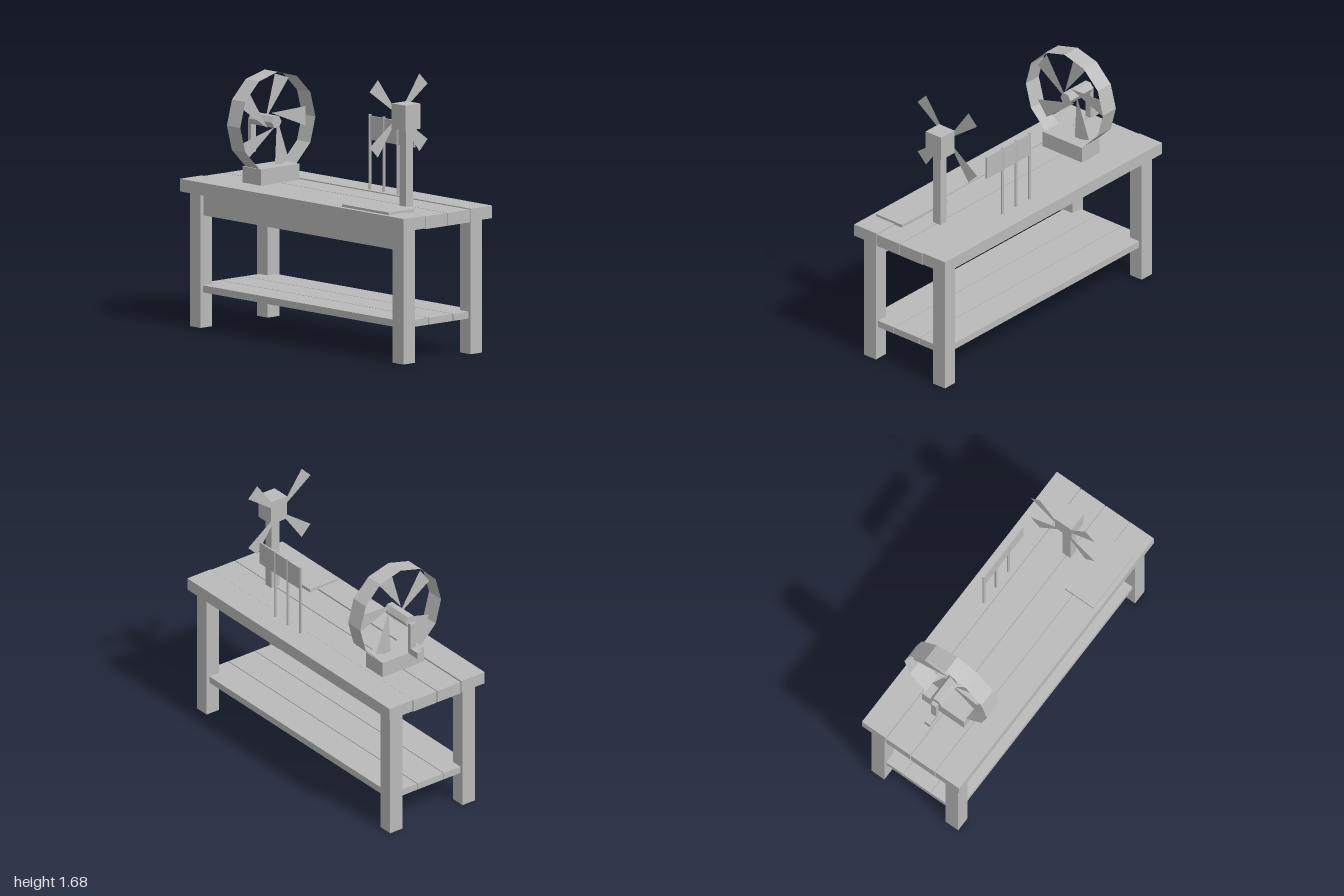
import * as THREE from 'three';

export function createModel() {
  const model = new THREE.Group();
  const grey = new THREE.MeshStandardMaterial({ color: 0xbababa, flatShading: true });
  grey.name = 'grey';
  const greySheet = new THREE.MeshStandardMaterial({ color: 0xbababa, flatShading: true, side: THREE.DoubleSide });
  greySheet.name = 'greySheet';

  function add(name, geometry, material = grey, parent = model) {
    const mesh = new THREE.Mesh(geometry, material);
    mesh.name = name;
    parent.add(mesh);
    return mesh;
  }
  // box given by its low and high limits on each axis
  function box(name, x0, x1, y0, y1, z0, z1, parent = model) {
    const mesh = add(name, new THREE.BoxGeometry(x1 - x0, y1 - y0, z1 - z0), grey, parent);
    mesh.position.set((x0 + x1) / 2, (y0 + y1) / 2, (z0 + z1) / 2);
    return mesh;
  }
  // flat triangular vanes around an x axis; skew shifts the root sideways
  function vanes(name, count, start, length, width, skew, parent) {
    for (let i = 0; i < count; i++) {
      const shape = new THREE.Shape([
        new THREE.Vector2(0, skew),
        new THREE.Vector2(length, -width / 2),
        new THREE.Vector2(length, width / 2),
      ]);
      const g = new THREE.ShapeGeometry(shape);
      g.rotateZ(start + (i * 2 * Math.PI) / count);
      g.rotateY(Math.PI / 2);
      add(name, g, greySheet, parent);
    }
  }

  // bench top: four planks with narrow gaps
  [[-0.365, -0.188, 0.905], [-0.182, -0.003, 0.9], [0.003, 0.18, 0.9], [0.186, 0.365, 0.905]]
    .forEach(([z0, z1, top]) => box('topPlank', -1, 1, top - 0.078, top, z0, z1));

  // legs
  for (const sx of [-1, 1]) {
    for (const sz of [-1, 1]) {
      const leg = box('leg', -0.0475, 0.0475, 0, 0.83, -0.0475, 0.0475);
      leg.position.x = sx * 0.9075;
      leg.position.z = sz * 0.2775;
    }
  }
  box('frontApron', -0.87, 0.87, 0.69, 0.828, 0.25, 0.3);

  // lower shelf: three planks running through the legs
  for (const z of [-0.205, 0, 0.205]) box('shelfPlank', -0.935, 0.935, 0.217, 0.26, z - 0.1, z + 0.1);

  // wheel with inner vanes, shaft and crank
  box('wheelBase', -0.665, -0.5, 0.9, 1.0, -0.158, 0.158);
  const wheel = new THREE.Group();
  wheel.name = 'wheel';
  wheel.position.set(-0.58, 1.27, 0);
  model.add(wheel);
  const rim = add('wheelRim', new THREE.CylinderGeometry(0.31, 0.31, 0.12, 12, 1, true), greySheet, wheel);
  rim.rotation.z = Math.PI / 2;
  const shaft = add('wheelShaft', new THREE.CylinderGeometry(0.04, 0.04, 0.21, 6), grey, wheel);
  shaft.rotation.z = Math.PI / 2;
  shaft.position.x = -0.055;
  vanes('wheelVane', 5, 0, 0.284, 0.12, 0.05, wheel);
  box('crankArm', -0.765, -0.738, 1.06, 1.265, -0.02, 0.02);
  box('crankHandle', -0.83, -0.76, 1.056, 1.097, -0.02, 0.02);

  // rack: three thin posts holding a panel
  for (const x of [0.06, 0.185, 0.31]) {
    const post = add('rackPost', new THREE.CylinderGeometry(0.01, 0.01, 0.465, 6));
    post.position.set(x, 1.1325, -0.225);
  }
  box('rackPanel', 0.055, 0.46, 1.21, 1.357, -0.23, -0.22);

  // small windmill
  box('windmillPost', 0.6, 0.657, 0.9, 1.38, -0.03, 0.03);
  box('windmillHead', 0.565, 0.688, 1.373, 1.528, -0.062, 0.062);
  const sails = new THREE.Group();
  sails.name = 'windmillSails';
  sails.position.set(0.56, 1.445, 0);
  model.add(sails);
  vanes('windmillSail', 4, Math.PI / 4, 0.29, 0.097, 0, sails);

  // plate lying on the bench
  box('plate', 0.417, 0.835, 0.9, 0.92, 0.123, 0.335);

  return model;
}
